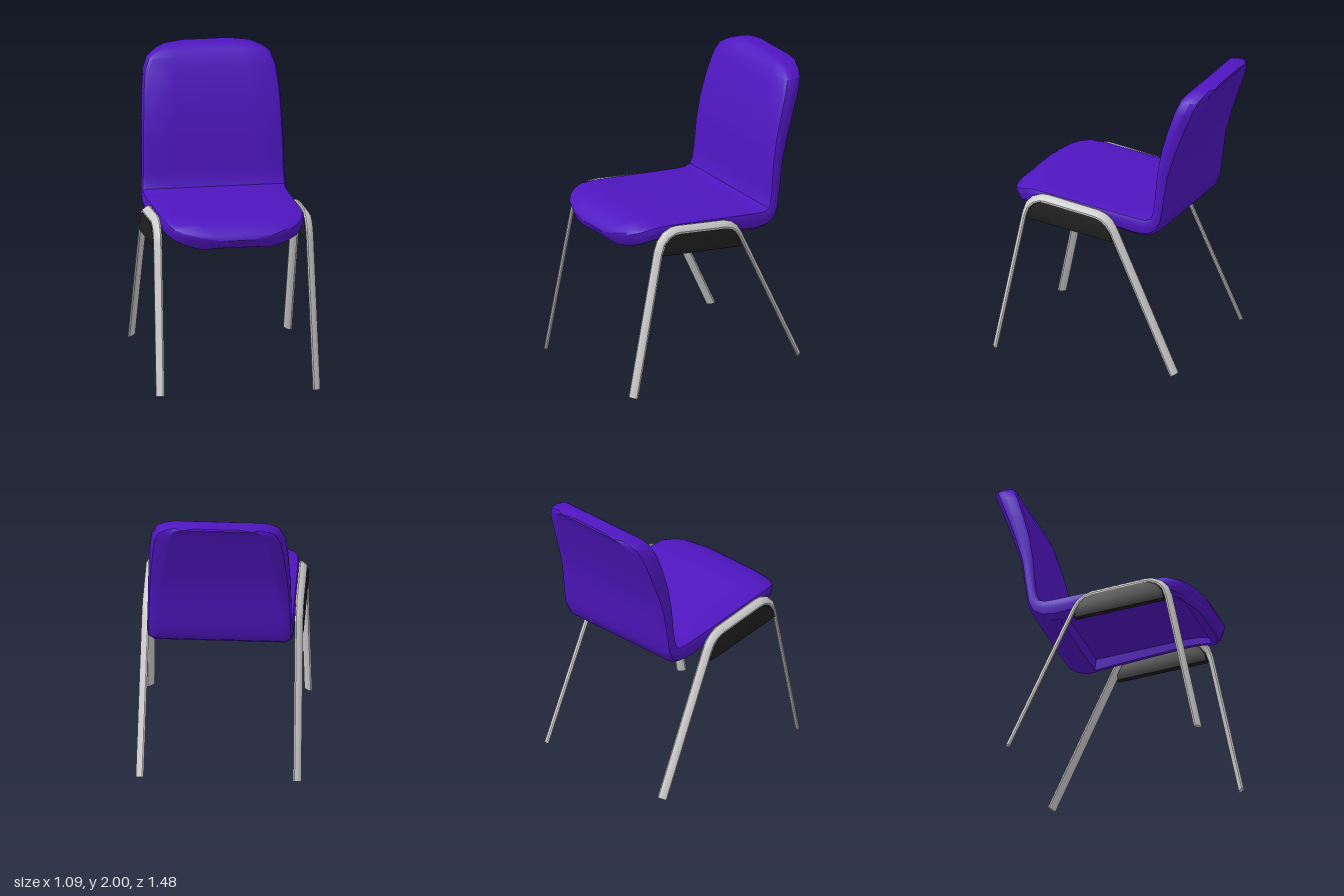
import * as THREE from 'three';
import { toCreasedNormals } from 'three/addons/utils/BufferGeometryUtils.js';

// Skin a list of equal-length rings and close both ends.
function loft(rings) {
  const n = rings[0].length, last = (rings.length - 1) * n, index = [];
  for (let i = 0; i < rings.length - 1; i++) {
    for (let j = 0; j < n; j++) {
      const a = i * n + j, b = i * n + (j + 1) % n;
      index.push(a, b, a + n, b, b + n, a + n);
    }
  }
  for (let j = 1; j < n - 1; j++) {
    index.push(0, j + 1, j, last, last + j, last + j + 1);
  }
  const g = new THREE.BufferGeometry();
  g.setAttribute('position', new THREE.Float32BufferAttribute(rings.flat(2), 3));
  g.setIndex(index);
  return toCreasedNormals(g, 0.6);
}

// Seat and back: one cushioned shell, from the front lip to the top edge.
function shellGeometry() {
  // upper z, y | lower z, y | half width | depth of the hollow underneath
  const stations = [
    [0.702, 1.05, 0.675, 1.0, 0.12],
    [0.688, 1.083, 0.645, 0.985, 0.25],
    [0.65, 1.115, 0.60, 1.005, 0.36],
    [0.61, 1.136, 0.57, 1.022, 0.41],
    [0.60, 1.14, 0.56, 1.027, 0.42, 0.3],
    [0.55, 1.152, 0.52, 1.04, 0.45, 0.35],
    [0.48, 1.156, 0.47, 1.047, 0.472, 0.4],
    [0.38, 1.147, 0.37, 1.04, 0.479, 0.43],
    [-0.10, 1.10, -0.12, 0.97, 0.481, 0.5],
    [-0.235, 1.087, -0.24, 0.95, 0.481, 0.53],
    [-0.24, 1.086, -0.25, 0.949, 0.481],
    [-0.28, 1.083, -0.29, 0.945, 0.481],
    [-0.34, 1.08, -0.37, 0.957, 0.481],
    [-0.375, 1.09, -0.435, 1.0, 0.48],
    [-0.39, 1.125, -0.468, 1.08, 0.478],
    [-0.402, 1.20, -0.485, 1.20, 0.474],
    [-0.418, 1.40, -0.517, 1.40, 0.47],
    [-0.443, 1.56, -0.57, 1.56, 0.465],
    [-0.485, 1.72, -0.63, 1.72, 0.457],
    [-0.53, 1.86, -0.685, 1.86, 0.44],
    [-0.56, 1.93, -0.712, 1.93, 0.41],
    [-0.585, 1.965, -0.73, 1.965, 0.36],
    [-0.615, 1.988, -0.742, 1.985, 0.30],
    [-0.64, 2.0, -0.738, 1.997, 0.20],
  ];
  return loft(stations.map(([z1, y1, z0, y0, w, hollow = 0]) => {
    // The rear edge gets rounder towards the top of the back
    const r = THREE.MathUtils.smoothstep(y0, 1.2, 1.9);
    // Rounded edge: fraction of half width, fraction of thickness
    const edge = [[0.55, 1], [0.93, 1], [0.98, 0.93], [1, 0.75], [1, 0.5], [0.98 - 0.04 * r, 0.2],
      [0.9 - 0.13 * r, 0], [0.84 - 0.13 * r, 0], [0.82 - 0.13 * r, hollow], [0.5, hollow]];
    const section = [...edge, ...edge.map(([u, t]) => [-u, t]).reverse()];
    return section.map(([u, t]) => {
      const x = u * w, z = z0 + t * (z1 - z0);
      // The front lip also droops towards its corners
      const droop = 0.18 * Math.max(0, z - 0.45) * (x / 0.48) ** 2;
      return [x, y0 + t * (y1 - y0) - droop, z];
    });
  }));
}

// Leg frame: a flattened, tilted tube bent into an arch (z, y).
const ARCH = [
  [0.72, 0.005], [0.515, 0.985], [0.492, 1.048], [0.452, 1.09], [0.395, 1.113], [0.35, 1.113],
  [-0.01, 1.07], [-0.06, 1.052], [-0.10, 1.02], [-0.13, 0.972], [-0.578, 0.031],
].map(p => new THREE.Vector2(...p));

function legGeometry(side) {
  const sides = 10, tilt = -0.66;
  const dir = i => ARCH[i + 1].clone().sub(ARCH[i]).normalize();
  return loft(ARCH.map((p, i) => {
    const t = dir(Math.max(i - 1, 0)).add(dir(Math.min(i, ARCH.length - 2))).normalize();
    const centre = 0.519 - 0.014 * p.y;
    return Array.from({ length: sides }, (_, j) => {
      const a = -side * j / sides * Math.PI * 2;
      const u = 0.033 * Math.cos(a), v = 0.014 * Math.sin(a);
      const out = u * Math.cos(tilt) - v * Math.sin(tilt);
      const n = u * Math.sin(tilt) + v * Math.cos(tilt);
      return [side * (centre + out), p.y - t.x * n, p.x + t.y * n];
    });
  }));
}

// Dark bracket plate filling the space under the arch.
function bracketGeometry() {
  const outline = [[0.485, 0.965], [0.475, 1.01], [0.44, 1.06], [0.38, 1.085], [0.34, 1.085],
    [-0.01, 1.043], [-0.05, 1.025], [-0.085, 0.99], [-0.112, 0.935], [-0.112, 0.902]];
  const shape = new THREE.Shape(outline.map(([z, y]) => new THREE.Vector2(-z, y)));
  const g = new THREE.ExtrudeGeometry(shape, {
    depth: 0.029, bevelThickness: 0.008, bevelSize: 0.008, bevelSegments: 2,
  });
  return toCreasedNormals(g.rotateY(Math.PI / 2), 0.6);
}

export function createModel() {
  const group = new THREE.Group();
  const purple = new THREE.MeshStandardMaterial({ color: 0x4f16c0 });
  const black = new THREE.MeshStandardMaterial({ color: 0x1e1e1e });
  const grey = new THREE.MeshStandardMaterial({ color: 0xcccccc });
  const add = (name, geometry, material) => {
    const mesh = new THREE.Mesh(geometry, material);
    mesh.name = name;
    group.add(mesh);
    return mesh;
  };

  add('seatShell', shellGeometry(), purple);
  for (const [name, side, x] of [['left', 1, 0.488], ['right', -1, -0.527]]) {
    add(name + 'LegFrame', legGeometry(side), grey);
    add(name + 'Bracket', bracketGeometry(), black).position.x = x;
  }
  return group;
}
